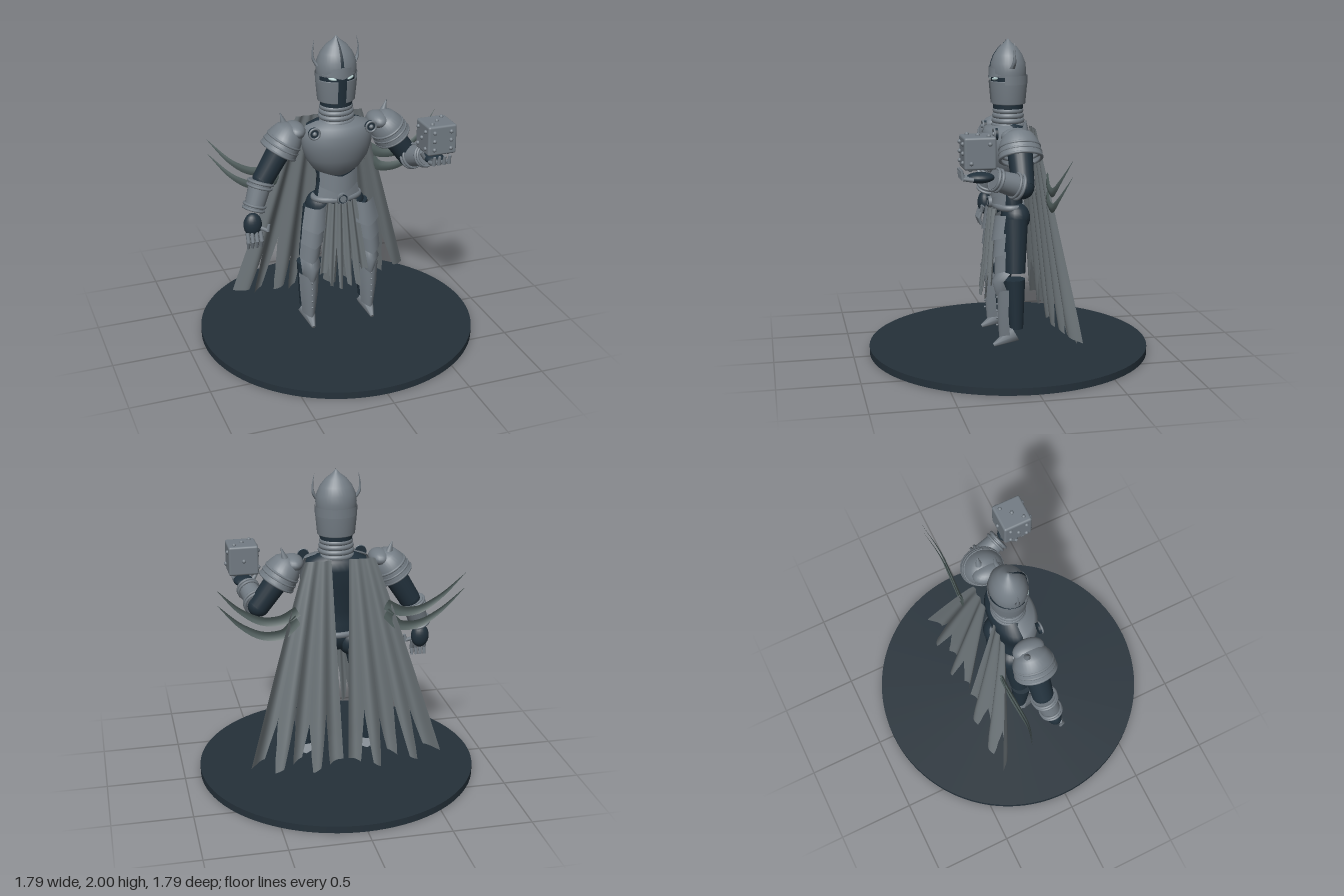
import * as THREE from 'three';
import { RoundedBoxGeometry } from 'three/addons/geometries/RoundedBoxGeometry.js';

const mat = (name, color) => new THREE.MeshStandardMaterial({ name, color, side: THREE.DoubleSide });
const V = (x, y, z) => new THREE.Vector3(x, y, z);

export function createModel() {
  const root = new THREE.Group();
  const steel = mat('steel armour', 0x737c84), suit = mat('dark suit', 0x21303b);
  const stone = mat('dark base', 0x25313a), cloth = mat('grey cloth', 0x6c7478);
  const bladeMat = mat('green steel', 0x52605f), glow = mat('pale eyes', 0xb4cccc);

  const add = (name, geo, m, p = [0, 0, 0], s = [1, 1, 1], r = [0, 0, 0], parent = root) => {
    const mesh = new THREE.Mesh(geo, m);
    mesh.name = name;
    mesh.position.set(...p); mesh.scale.set(...s); mesh.rotation.set(...r);
    parent.add(mesh);
    return mesh;
  };
  const lathe = (pts, start = 0, len = Math.PI * 2, seg = 32) =>
    new THREE.LatheGeometry(pts.map(p => new THREE.Vector2(...p)), seg, start, len);
  const ball = (name, r, m, p, s) => add(name, new THREE.SphereGeometry(r, 20, 14), m, p, s);
  // Tapered cylinder between two points
  const limb = (name, a, b, ra, rb, m, seg = 20) => {
    const A = V(...a), B = V(...b), d = B.clone().sub(A);
    const mesh = add(name, new THREE.CylinderGeometry(rb, ra, d.length(), seg), m);
    mesh.position.copy(A).add(B).multiplyScalar(0.5);
    mesh.quaternion.setFromUnitVectors(V(0, 1, 0), d.normalize());
    return mesh;
  };
  // Thin surface from a rule fn(u, v) -> [x, y, z]
  const grid = (nu, nv, fn) => {
    const pos = [], idx = [];
    for (let j = 0; j <= nv; j++) for (let i = 0; i <= nu; i++) pos.push(...fn(i / nu, j / nv));
    for (let j = 0; j < nv; j++) for (let i = 0; i < nu; i++) {
      const a = j * (nu + 1) + i, b = a + nu + 1;
      idx.push(a, b, a + 1, b, b + 1, a + 1);
    }
    const g = new THREE.BufferGeometry();
    g.setAttribute('position', new THREE.Float32BufferAttribute(pos, 3));
    g.setIndex(idx);
    g.computeVertexNormals();
    return g;
  };
  // Curved plate: rows of [centre x, y, half width, z, point drop]
  const plate = (name, rows, bend, m = steel) => add(name, grid(10, rows.length - 1, (u, v) => {
    const [cx, y, w, z, drop] = rows[Math.round(v * (rows.length - 1))], t = u * 2 - 1;
    return [cx + t * w, y - drop * (1 - Math.abs(t)), z - bend * t * t];
  }), m);
  // Cloth torn into strips; slits give where each boundary starts to open
  const tatter = (name, slits, ends, fn) => {
    const n = ends.length;
    const open = (b, v) => Math.max(0, (v - slits[b]) / (1 - slits[b] + 0.001)) * 0.3;
    for (let i = 0; i < n; i++) add(name, grid(8, 30, (u, t) => {
      const v = t * ends[i], l = open(i, v), r = 1 - open(i + 1, v);
      return fn((i + l + (r - l) * u) / n, v + 0.03 * (v > 0.9 ? u : 0));
    }), cloth);
  };

  add('base', new THREE.CylinderGeometry(0.895, 0.895, 0.045, 96), stone, [0, 0.0225, 0]);

  // Helmet
  const dome = [[0.125, 1.765], [0.128, 1.8], [0.122, 1.85], [0.1, 1.9], [0.065, 1.945], [0.025, 1.975], [0.001, 2]];
  add('helmetDome', lathe(dome), steel, [0, 0, 0], [1, 1, 0.88]);
  add('helmetCrest', lathe(dome.map(([r, y]) => [r + 0.006, y]), -0.08, 0.16, 4), suit, [0, 0, 0], [1, 1, 0.88]);
  add('face', new THREE.CylinderGeometry(0.118, 0.1, 0.23, 32), suit, [0, 1.675, 0], [1, 1, 0.92]);
  add('helmetGuard', lathe([[0.114, 1.595], [0.118, 1.6], [0.131, 1.735], [0.126, 1.74]], 0.22, Math.PI * 2 - 0.44), steel, [0, 0, 0], [1, 1, 0.92]);
  add('helmetBack', lathe([[0.131, 1.72], [0.131, 1.775]], 1.2, Math.PI * 2 - 2.4), steel, [0, 0, 0], [1, 1, 0.92]);
  plate('brow', [[0, 1.81, 0.1, 0.122, -0.02], [0, 1.78, 0.108, 0.124, 0.025]], 0.065);
  for (const s of [-1, 1]) {
    add('eye', new THREE.SphereGeometry(0.022, 16, 8), glow, [s * 0.058, 1.756, 0.095], [1.25, 0.45, 0.5], [0, s * 0.5, s * 0.15]);
    const horn = new THREE.CatmullRomCurve3([V(s * 0.12, 1.82, 0), V(s * 0.143, 1.86, -0.01), V(s * 0.148, 1.91, -0.01), V(s * 0.137, 1.98, -0.01)]);
    add('horn', grid(8, 12, (u, v) => {
      const p = horn.getPoint(v), a = u * Math.PI * 2, r = 0.017 * (1 - v) + 0.001;
      return [p.x + r * 0.8 * Math.cos(a), p.y, p.z + r * Math.sin(a)];
    }), steel);
  }

  // Neck and stacked collar
  add('neck', new THREE.CylinderGeometry(0.08, 0.08, 0.15, 24), suit, [0, 1.54, 0]);
  for (let i = 0; i < 4; i++)
    add('collarRing', new THREE.TorusGeometry(0.088 + 0.004 * (3 - i), 0.019, 10, 32), steel, [0, 1.46 + i * 0.031, 0], [1, 0.9, 1], [Math.PI / 2, 0, 0]);

  // Body suit and chest armour
  add('torso', lathe([[0.001, 0.82], [0.12, 0.85], [0.15, 0.93], [0.13, 1.02], [0.125, 1.1], [0.17, 1.25], [0.205, 1.38], [0.19, 1.44], [0.1, 1.48]]), suit, [0, 0, -0.01], [1, 1, 0.56]);
  add('breastplate', lathe([[0.01, 1.08], [0.08, 1.1], [0.15, 1.15], [0.205, 1.23], [0.23, 1.32], [0.23, 1.39], [0.2, 1.445], [0.1, 1.475]], -Math.PI / 2, Math.PI), steel, [0, 0, 0], [1, 1, 0.72]);
  plate('abdomenPlate', [[0, 1.14, 0.125, 0.1, 0.03], [0, 1.04, 0.125, 0.11, 0.05]], 0.06);
  plate('abdomenPlate', [[0, 1.08, 0.12, 0.095, 0.05], [0, 0.97, 0.14, 0.105, 0.03]], 0.06);
  add('belt', new THREE.TorusGeometry(0.15, 0.02, 10, 40), steel, [0, 0.95, 0], [1, 0.62, 1], [Math.PI / 2, 0, 0]);
  add('buckle', new THREE.CylinderGeometry(0.036, 0.036, 0.02, 24), steel, [0, 0.97, 0.12], [1, 1, 1], [Math.PI / 2, 0, 0]);
  add('buckleRing', new THREE.TorusGeometry(0.026, 0.004, 8, 24), suit, [0, 0.97, 0.131]);

  for (const s of [-1, 1]) {
    add('claspDisc', new THREE.CylinderGeometry(0.036, 0.036, 0.02, 24), suit, [s * 0.185, 1.43, 0.115], [1, 1, 1], [Math.PI / 2, 0, 0]);
    add('claspRing', new THREE.TorusGeometry(0.033, 0.007, 8, 24), steel, [s * 0.185, 1.43, 0.126]);
    ball('claspStud', 0.014, steel, [s * 0.185, 1.43, 0.126]);

    // Shoulder armour opening along the arm
    const pauldron = new THREE.Group();
    pauldron.name = 'pauldron';
    pauldron.position.set(s * 0.34, 1.37, 0);
    pauldron.rotation.z = s * 0.55;
    root.add(pauldron);
    const shell = [[0.118, -0.07], [0.112, -0.02], [0.106, 0.02], [0.085, 0.07], [0.05, 0.1], [0.001, 0.112]];
    add('shoulderShell', lathe(shell), steel, [0, 0, 0], [1, 1, 1.15], [0, 0, 0], pauldron);
    for (let i = 0; i < 3; i++)
      add('shoulderRim', new THREE.TorusGeometry(0.113 - i * 0.003, 0.009, 8, 32), steel, [0, -0.075 + i * 0.035, 0], [1, 1.13, 1], [Math.PI / 2, 0, 0], pauldron);
    ball('shoulderCap', 0.07, steel, [s * 0.275, 1.425, 0], [0.95, 0.75, 1.45]);
    limb('shoulderSpike', [s * 0.33, 1.46, -0.035], [s * 0.352, 1.535, -0.035], 0.024, 0.002, steel, 12);

    // Legs
    ball('hip', 0.095, suit, [s * 0.1, 0.885, -0.03], [1, 1, 0.95]);
    limb('thigh', [s * 0.13, 0.88, -0.015], [s * 0.185, 0.545, -0.005], 0.085, 0.066, suit);
    limb('shin', [s * 0.2, 0.51, 0], [s * 0.205, 0.19, -0.01], 0.067, 0.044, suit);
    limb('boot', [s * 0.205, 0.16, 0], [s * 0.205, 0.088, 0.135], 0.058, 0.012, steel, 8);
    for (let i = 0; i < 3; i++)
      plate('thighPlate', [[s * (0.155 + i * 0.017), 0.925 - i * 0.11, 0.075, 0.115 + i * 0.004, 0.01], [s * (0.172 + i * 0.017), 0.79 - i * 0.105, 0.088 - i * 0.01, 0.14 - i * 0.005, 0.035]], 0.055);
    plate('kneePlate', [[s * 0.2, 0.56, 0.06, 0.1, -0.03], [s * 0.2, 0.51, 0.066, 0.145, 0], [s * 0.2, 0.44, 0.05, 0.115, 0.04]], 0.06);
    plate('greave', [[s * 0.205, 0.46, 0.068, 0.11, 0.03], [s * 0.205, 0.3, 0.06, 0.112, 0], [s * 0.205, 0.16, 0.045, 0.1, 0.02]], 0.06);
    for (let i = 0; i < 5; i++) ball('greaveStud', 0.007, steel, [s * 0.205, 0.22 + i * 0.045, 0.113]);

    // Swept crescent blades behind the arms
    for (const dy of [0, -0.095]) {
      const path = new THREE.CatmullRomCurve3([V(0.28, 1.17, -0.17), V(0.38, 1.115, -0.16), V(0.5, 1.115, -0.155), V(0.63, 1.19, -0.165), V(0.78, 1.355, -0.22)]);
      add('crescentBlade', grid(3, 28, (u, v) => {
        const p = path.getPoint(v), d = path.getTangent(v), w = (u - 0.5) * 0.07 * (1 - v ** 2.2);
        return [s * (p.x - d.y * w), p.y + dy * (v < 0.2 ? 0.6 + 2 * v : 1) + d.x * w, p.z - Math.abs(w) * 0.5];
      }), bladeMat);
    }

    // Cape half with folds, flaring to the hem
    tatter('cape', [0.99, 0.74, 0.8, 0.7, 0.78, 1], [0.98, 1, 0.97, 1, 0.98], (u, v) => {
      const inner = 0.055 - 0.04 * v, outer = 0.22 + 0.39 * v ** 0.95;
      const fold = Math.cos((u - 0.28) / 0.39 * Math.PI * 2);
      return [s * (inner + (outer - inner) * u), 1.46 - 1.3 * v + 0.05 * u * u * v,
        -0.125 - 0.185 * v - 0.042 * fold * Math.min(1, v + 0.12)];
    });
  }

  // Pleated front cloth
  tatter('waistCloth', [1, 0.7, 0.5, 0.62, 0.55, 0.72, 1], [0.82, 0.96, 1, 0.97, 1, 0.84], (u, v) =>
    [(u - 0.5) * (0.2 + 0.16 * v), 0.94 - 0.57 * v, 0.118 + 0.055 * v - 0.03 * (2 * u - 1) ** 2 + 0.012 * Math.cos(u * Math.PI * 10)]);

  // Arms: bracer made of a sleeve with raised bands
  const bracer = (a, b) => {
    limb('bracer', a, b, 0.074, 0.06, steel);
    for (const [t, r] of [[0.06, 0.078], [0.2, 0.076], [0.82, 0.067], [0.95, 0.066]]) {
      const p = V(...a).lerp(V(...b), t);
      const ring = add('bracerBand', new THREE.TorusGeometry(r, 0.009, 8, 28), steel, p.toArray());
      ring.quaternion.setFromUnitVectors(V(0, 0, 1), V(...b).sub(V(...a)).normalize());
    }
  };
  // Lowered arm
  limb('upperArm', [-0.34, 1.36, 0], [-0.48, 1.13, 0], 0.078, 0.068, suit);
  ball('elbow', 0.068, suit, [-0.48, 1.13, 0]);
  bracer([-0.495, 1.12, 0], [-0.56, 0.94, 0.03]);
  ball('hand', 0.062, suit, [-0.57, 0.85, 0.045], [0.95, 1.25, 0.75]);
  for (let i = 0; i < 4; i++) {
    const x = -0.612 + i * 0.028;
    limb('finger', [x, 0.81, 0.07], [x, 0.75, 0.09], 0.013, 0.013, steel, 10);
    limb('fingertip', [x, 0.755, 0.09], [x, 0.705, 0.075], 0.013, 0.009, steel, 10);
  }
  limb('thumb', [-0.53, 0.83, 0.06], [-0.485, 0.81, 0.08], 0.014, 0.012, steel, 10);
  limb('thumbTip', [-0.485, 0.805, 0.08], [-0.475, 0.85, 0.08], 0.013, 0.009, steel, 10);

  // Raised arm
  limb('upperArm', [0.34, 1.36, 0], [0.49, 1.15, 0.01], 0.078, 0.068, suit);
  ball('elbow', 0.07, suit, [0.49, 1.15, 0.015]);
  bracer([0.495, 1.155, 0.03], [0.535, 1.215, 0.2]);
  ball('hand', 0.065, suit, [0.545, 1.23, 0.28], [1, 0.5, 1.3]);
  for (let i = 0; i < 4; i++) {
    const x = 0.495 + i * 0.034;
    limb('finger', [x, 1.225, 0.33], [x, 1.235, 0.39], 0.014, 0.013, steel, 10);
    limb('fingertip', [x, 1.23, 0.39], [x, 1.285, 0.4], 0.013, 0.009, steel, 10);
  }
  limb('thumb', [0.49, 1.23, 0.27], [0.455, 1.28, 0.28], 0.014, 0.01, steel, 10);

  // Gaming die with raised pips
  const die = new THREE.Group();
  die.name = 'die';
  die.position.set(0.55, 1.385, 0.295);
  root.add(die);
  add('dieBody', new RoundedBoxGeometry(0.19, 0.19, 0.19, 3, 0.014), steel, [0, 0, 0], [1, 1, 1], [0, 0, 0], die);
  const four = [[-1, -1], [-1, 1], [1, -1], [1, 1]], diag = [[-1, 1], [1, -1]], mid = [[0, 0]];
  const faces = [[0, 1, diag], [0, -1, [...four, ...mid]], [1, 1, [...diag, ...mid]], [1, -1, four], [2, 1, [...four, [-1, 0], [1, 0]]], [2, -1, mid]];
  for (const [axis, side, pips] of faces) for (const [a, b] of pips) {
    const p = [0, 0, 0];
    p[axis] = side * 0.097;
    p[(axis + 1) % 3] = a * 0.055;
    p[(axis + 2) % 3] = b * 0.055;
    add('pip', new THREE.SphereGeometry(0.013, 12, 8), steel, p, [1, 1, 1], [0, 0, 0], die);
  }
  return root;
}
